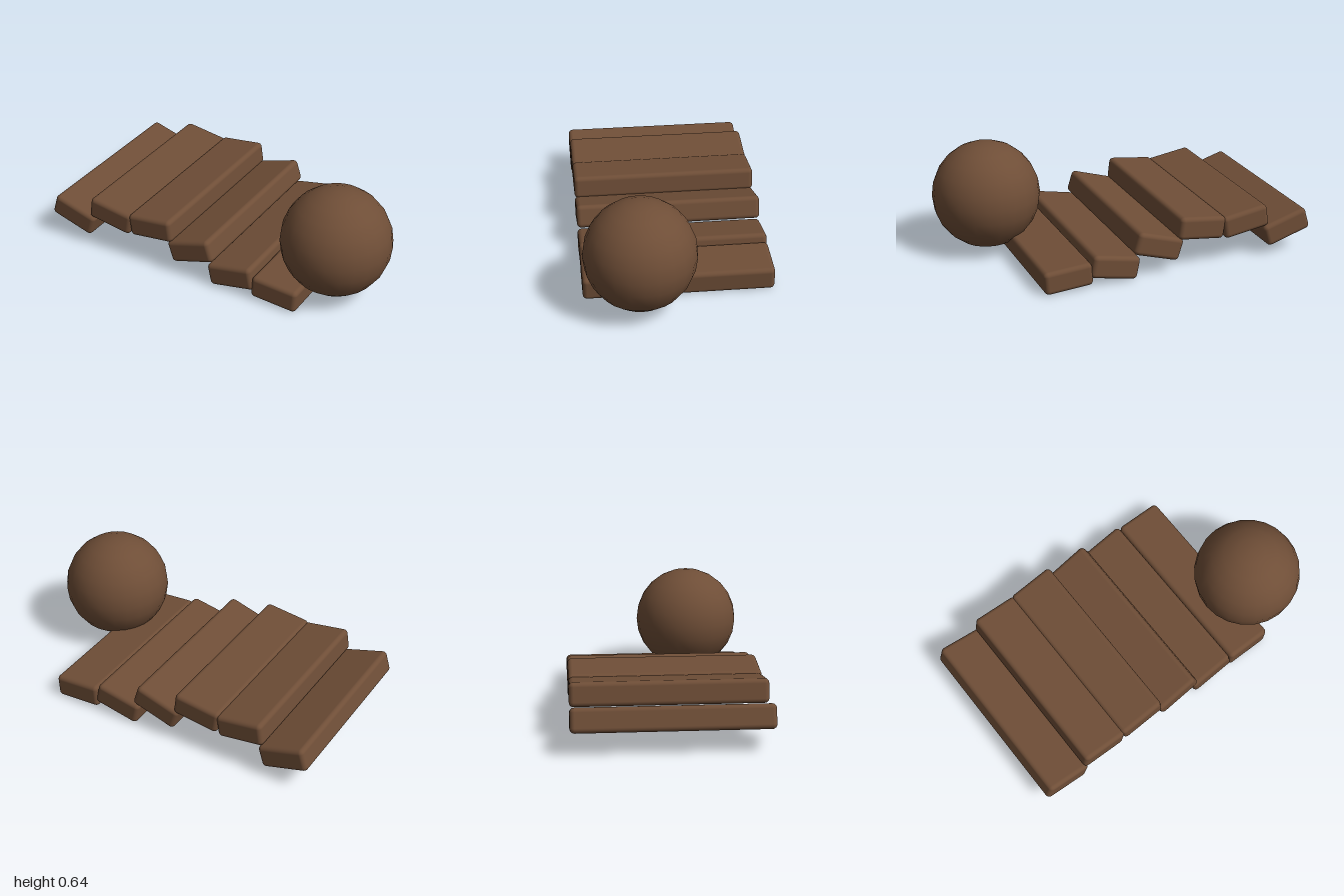
import * as THREE from 'three';
import { RoundedBoxGeometry } from 'three/addons/geometries/RoundedBoxGeometry.js';

export function createModel() {
  const model = new THREE.Group();
  model.name = 'plankPathWithBall';
  const brown = new THREE.MeshStandardMaterial({ color: 0x6f4e37 });
  brown.name = 'brown';

  // Tilted planks: centre x, centre y, tilt in degrees
  const planks = [
    [-0.852, 0.166, -17],
    [-0.589, 0.242, -9],
    [-0.318, 0.247, 7],
    [-0.057, 0.179, 17],
    [0.2, 0.1, 11],
    [0.473, 0.081, -4],
  ];
  const plankGeometry = new RoundedBoxGeometry(0.277, 0.131, 1.056, 3, 0.025);
  planks.forEach(([x, y, tilt], i) => {
    const plank = new THREE.Mesh(plankGeometry, brown);
    plank.name = `plank${i + 1}`;
    plank.position.set(x, y, 0);
    plank.rotation.z = THREE.MathUtils.degToRad(tilt);
    model.add(plank);
  });

  // Ball resting on the last plank
  const ball = new THREE.Mesh(new THREE.SphereGeometry(0.307, 24, 12), brown);
  ball.name = 'ball';
  ball.position.set(0.693, 0.34, 0.221);
  model.add(ball);

  return model;
}
